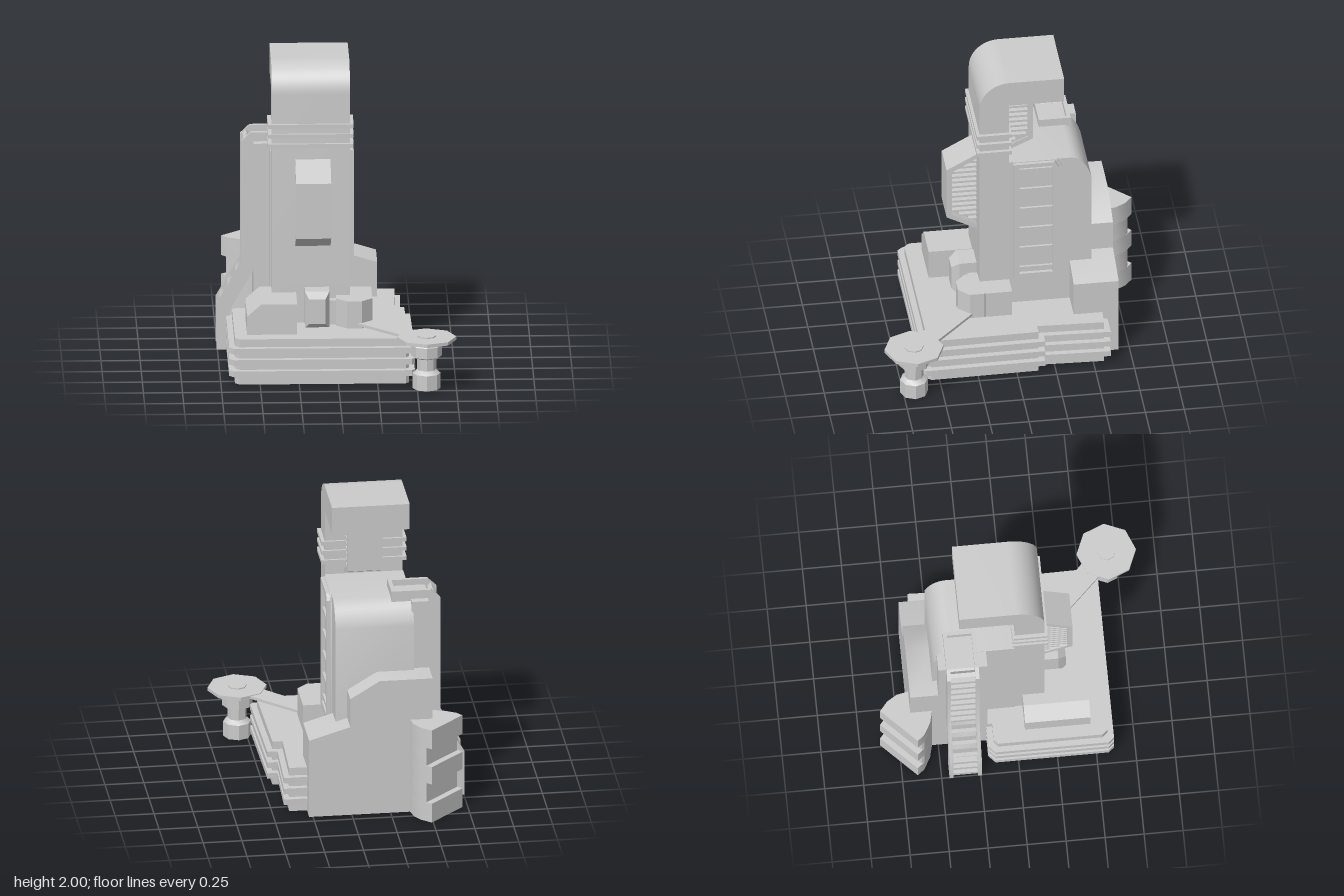
import * as THREE from 'three';
import { toCreasedNormals } from 'three/addons/utils/BufferGeometryUtils.js';

const material = new THREE.MeshStandardMaterial({ color: 0xcccccc });

export function createModel() {
  const model = new THREE.Group();

  const add = (name, geometry) => {
    const mesh = new THREE.Mesh(toCreasedNormals(geometry, 0.6), material);
    mesh.name = name;
    model.add(mesh);
    return mesh;
  };
  const box = (name, x0, x1, y0, y1, z0, z1) => add(name,
    new THREE.BoxGeometry(x1 - x0, y1 - y0, z1 - z0)
      .translate((x0 + x1) / 2, (y0 + y1) / 2, (z0 + z1) / 2));
  const shapeOf = (pts) => new THREE.Shape(pts.map(([a, b]) => new THREE.Vector2(a, b)));
  const extrude = (shape, depth) =>
    new THREE.ExtrudeGeometry(shape, { depth, bevelEnabled: false, curveSegments: 6 });

  // Plan outline [x, z] raised from y0 to y1
  const planPrism = (name, pts, y0, y1) => add(name,
    extrude(shapeOf(pts.map(([x, z]) => [x, -z])), y1 - y0).rotateX(-Math.PI / 2).translate(0, y0, 0));
  // Side profile (z, y) spanning x0 to x1
  const sidePrism = (name, shape, x0, x1) => add(name,
    extrude(shape, x1 - x0).rotateY(-Math.PI / 2).translate(x1, 0, 0));
  // Front profile [x, y] spanning z0 to z1
  const frontPrism = (name, pts, z0, z1) => add(name,
    extrude(shapeOf(pts), z1 - z0).translate(0, 0, z0));

  // Layered base: core with three protruding bands
  const baseOutline = (o) => [
    [-0.66 - o, -0.13 - o / 2], [-0.63 - o / 2, -0.155 - o], [-0.52, -0.155 - o], [-0.52, -0.6],
    [0.39 + o, -0.57 - o], [0.375 + o, -0.14 - o], [0.44 + o, -0.14 - o],
    [0.45 + o, 0.55 + o], [0.43 + o, 0.575 + o], [-0.63 - o, 0.575 + o], [-0.66 - o, 0.54 + o]];
  planPrism('baseCore', baseOutline(0), 0, 0.3);
  for (const y of [0.06, 0.135, 0.21]) planPrism('baseBand', baseOutline(0.038), y, y + 0.038);

  // Tower that bends backwards into a duct
  const duct = new THREE.Shape();
  duct.moveTo(0.19, 0.28);
  duct.lineTo(0.19, 1.81);
  duct.absarc(0, 1.81, 0.19, 0, Math.PI / 2, false);
  duct.lineTo(-0.355, 2);
  duct.lineTo(-0.355, 1.825);
  duct.lineTo(0, 1.825);
  duct.lineTo(0, 0.28);
  sidePrism('towerDuct', duct, -0.415, 0.085);
  for (const y of [1.462, 1.527, 1.592]) box('towerCollar', -0.44, 0.108, y, y + 0.026, -0.015, 0.21);

  // Rear body with rounded back edge
  const body = new THREE.Shape();
  body.moveTo(0, 0.28);
  body.lineTo(0, 1.385);
  body.lineTo(-0.4, 1.385);
  body.quadraticCurveTo(-0.49, 1.375, -0.53, 1.23);
  body.lineTo(-0.53, 0.28);
  sidePrism('rearBody', body, -0.42, 0.085);
  box('rearBodySide', -0.52, -0.41, 0.28, 1.38, -0.5, -0.185);

  // Framed vents with horizontal slats on both sides
  const vent = (name, z, dir, depth, y0, y1, low, high, x0, x1) => {
    const m = 0.033;
    const outer = shapeOf([[z, y0], [z + dir * depth, low], [z + dir * depth, high], [z, y1]]);
    const d = depth - m;
    outer.holes.push(new THREE.Path([[z, y0 + m], [z + dir * d, low + m * 0.6],
      [z + dir * d, high - m * 0.6], [z, y1 - m]].map(([a, b]) => new THREE.Vector2(a, b))));
    sidePrism(name + 'Frame', outer, x0, x1);
    sidePrism(name + 'Core', shapeOf([[z, y0 + 0.01], [z + dir * (d + 0.01), low],
      [z + dir * (d + 0.01), high], [z, y1 - 0.01]]), x0 + 0.04, x1 - 0.04);
    for (let y = y0 + 0.07; y < y1 - 0.05; y += 0.037) {
      const reach = d * Math.min(1, (y - y0 - m) / (low - y0), (y1 - m - y) / (y1 - high));
      const end = z + dir * reach;
      box(name + 'Slat', x0 + 0.008, x1 - 0.008, y - 0.007, y + 0.007, Math.min(z, end), Math.max(z, end));
    }
  };
  vent('frontVent', 0.185, 1, 0.2, 0.805, 1.385, 0.91, 1.275, -0.265, -0.04);
  vent('backVent', 0.005, -1, 0.177, 1.39, 1.83, 1.47, 1.755, -0.265, -0.04);

  // Ladder panel on the left side
  const panel = shapeOf([[-0.025, 0.47], [-0.025, 1.385], [-0.31, 1.385], [-0.345, 1.33], [-0.345, 0.47]]);
  sidePrism('ladderBacking', panel, 0.08, 0.092);
  const frame = shapeOf([[-0.025, 0.5], [-0.025, 1.38], [-0.29, 1.38], [-0.32, 1.34], [-0.32, 0.5]]);
  frame.holes.push(new THREE.Path([[-0.062, 0.535], [-0.062, 1.352], [-0.278, 1.352], [-0.278, 0.535]]
    .map(([a, b]) => new THREE.Vector2(a, b))));
  sidePrism('ladderFrame', frame, 0.085, 0.115);
  for (let i = 0; i < 6; i++) {
    const y = 0.57 + i * 0.151;
    box('ladderRung', 0.085, 0.108, y - 0.013, y + 0.013, -0.278, -0.062);
  }

  // Rear annex with sloping roofs
  frontPrism('annexLow', [[-0.52, 0], [0.275, 0], [0.275, 0.53], [0.01, 0.61], [-0.52, 0.61]], -0.68, -0.39);
  frontPrism('annexHigh', [[-0.52, 0.5], [0.01, 0.5], [0.01, 0.805], [-0.18, 0.92], [-0.52, 0.92]], -0.68, -0.5);

  // Conveyor climbing the right side: two rails, bed and rungs
  const track = [[-0.755, 0], [-0.755, 0.3], [-0.6, 0.57], [-0.6, 1.38], [-0.54, 1.437], [-0.285, 1.437]];
  const inner = [[-0.285, 1.36], [-0.5, 1.36], [-0.51, 1.35], [-0.51, 0.54], [-0.665, 0.27], [-0.665, 0]];
  const bedTop = [[-0.715, 0], [-0.715, 0.285], [-0.56, 0.555], [-0.56, 1.365], [-0.525, 1.397], [-0.285, 1.397]];
  frontPrism('conveyorRail', [...track, ...inner], -0.45, -0.425);
  frontPrism('conveyorRail', [...track, ...inner], -0.268, -0.243);
  frontPrism('conveyorBed', [...bedTop, ...inner], -0.43, -0.26);
  box('conveyorEnd', -0.31, -0.285, 1.36, 1.437, -0.45, -0.243);
  const path = new THREE.CurvePath();
  for (let i = 0; i < 4; i++) {
    path.add(new THREE.LineCurve(new THREE.Vector2(...track[i]), new THREE.Vector2(...track[i + 1])));
  }
  for (let i = 0; i < 15; i++) {
    const u = (i + 0.5) / 15;
    const p = path.getPointAt(u), t = path.getTangentAt(u);
    const rung = add('conveyorRung', new THREE.BoxGeometry(0.03, 0.05, 0.17));
    rung.rotation.z = Math.atan2(t.y, t.x);
    rung.position.set(p.x + t.y * 0.03, p.y - t.x * 0.03, -0.347);
  }

  // Round-backed drum with a flat diagonal face and recessed bands
  const drumOutline = (r) => [
    [-0.49 + r, -0.87 + r], [-0.43, -0.82], [-0.39, -0.755], [-0.375, -0.68], [-0.43, -0.58],
    [-0.52, -0.54], [-0.6, -0.56], [-0.68, -0.605], [-0.715 + r, -0.65 + r]];
  const levels = [0, 0.13, 0.265, 0.385, 0.51, 0.64];
  for (let i = 0; i < 5; i++) planPrism('drumSection', drumOutline(i % 2 ? 0.03 : 0), levels[i], levels[i + 1]);

  // Blocks standing on the base
  frontPrism('cornerBlock', [[-0.58, 0.29], [-0.26, 0.29], [-0.26, 0.5], [-0.49, 0.5], [-0.58, 0.42]], 0.05, 0.47);
  box('frontHutch', -0.205, -0.05, 0.29, 0.535, 0.18, 0.3);
  const face = add('frontHutchFace', new THREE.CylinderGeometry(0.075, 0.11, 0.05, 4, 1)
    .rotateY(Math.PI / 4).rotateX(Math.PI / 2).scale(1, 1.55, 1));
  face.position.set(-0.128, 0.415, 0.325);
  box('sideBox', 0.05, 0.225, 0.29, 0.48, 0.0, 0.17);
  box('linkBox', -0.05, 0.02, 0.29, 0.46, 0.18, 0.25);

  // Octagonal pod, arm and raised pad
  add('pod', new THREE.CylinderGeometry(0.125, 0.125, 0.19, 8).rotateY(Math.PI / 8)).position.set(0.11, 0.385, 0.225);
  planPrism('padArm', [[0.12, 0.33], [0.22, 0.25], [0.54, 0.56], [0.44, 0.66]], 0.317, 0.335);
  add('pad', new THREE.CylinderGeometry(0.19, 0.19, 0.022, 8)).position.set(0.56, 0.329, 0.68);
  add('padHub', new THREE.CylinderGeometry(0.06, 0.06, 0.01, 8)).position.set(0.56, 0.343, 0.68);
  const pedestal = [[0, 0], [0.09, 0], [0.09, 0.1], [0.062, 0.125], [0.062, 0.2], [0.098, 0.215],
    [0.098, 0.285], [0.07, 0.32], [0, 0.32]];
  add('padPedestal', new THREE.LatheGeometry(pedestal.map(([r, y]) => new THREE.Vector2(r, y)), 8)
    .translate(0.56, 0, 0.68));

  return model;
}
